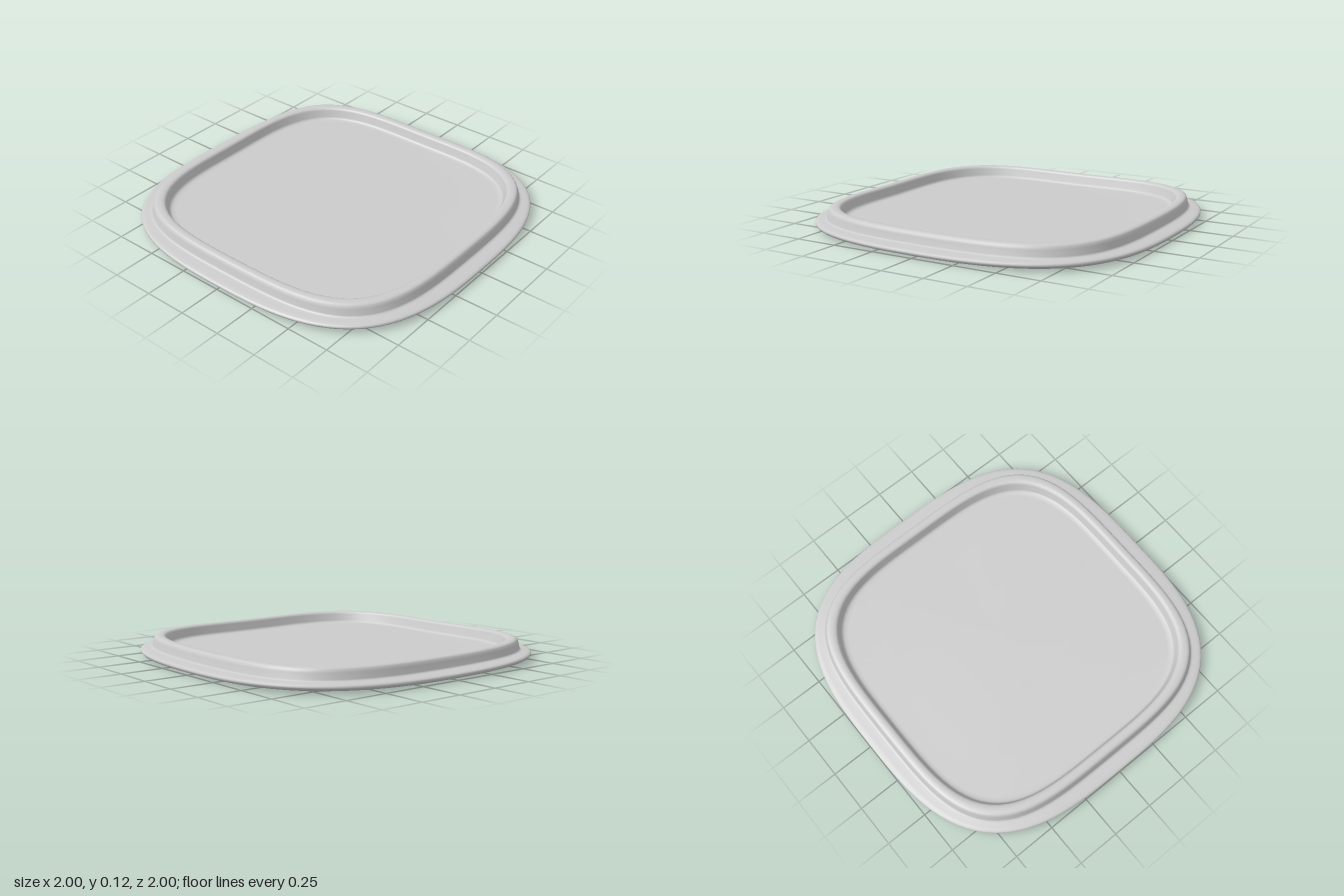
import * as THREE from 'three';
import { mergeVertices } from 'three/addons/utils/BufferGeometryUtils.js';

// Rounds a circular lathe into a soft square, with the corners lifted slightly.
function squareOff(geometry) {
  const p = geometry.attributes.position;
  for (let i = 0; i < p.count; i++) {
    const x = p.getX(i), z = p.getZ(i);
    const r = Math.hypot(x, z);
    if (r < 1e-6) continue;
    const c = x / r, s = z / r;
    // The flange edge is rounder than the raised rim
    const n = THREE.MathUtils.lerp(3.7, 3.1, THREE.MathUtils.smoothstep(r, 0.9, 1));
    const k = Math.pow(Math.abs(c) ** n + Math.abs(s) ** n, -1 / n);
    const lift = 0.009 * (2 * c * s) ** 2 * r * r;
    p.setXYZ(i, x * k, p.getY(i) + lift, z * k);
  }
  geometry.deleteAttribute('normal');
  geometry.deleteAttribute('uv');
  const merged = mergeVertices(geometry, 1e-5);
  merged.computeVertexNormals();
  return merged;
}

export function createModel() {
  const group = new THREE.Group();
  group.name = 'squareLid';

  // Cross-section from the centre of the underside to the centre of the floor
  const profile = [
    [0, 0], [0.4, 0], [0.8, 0], [0.94, 0.002], [0.975, 0.006],
    [0.992, 0.012], [0.999, 0.02], [1, 0.027], [0.996, 0.034], [0.985, 0.038], // flange edge
    [0.96, 0.041], [0.925, 0.043], [0.914, 0.046], [0.909, 0.053], // flange top
    [0.902, 0.085], [0.897, 0.1], [0.89, 0.107], [0.88, 0.11], // outer wall
    [0.865, 0.111], [0.852, 0.109], [0.844, 0.104], [0.84, 0.095], // rim
    [0.829, 0.056], [0.824, 0.047], [0.814, 0.042], [0.795, 0.04], // inner wall
    [0.6, 0.04], [0.3, 0.04], [0, 0.04], // floor
  ].map(([r, y]) => new THREE.Vector2(r, y));

  const lid = new THREE.Mesh(
    squareOff(new THREE.LatheGeometry(profile, 128)),
    new THREE.MeshStandardMaterial({ color: 0xcccccc })
  );
  lid.name = 'lid';
  group.add(lid);
  return group;
}
